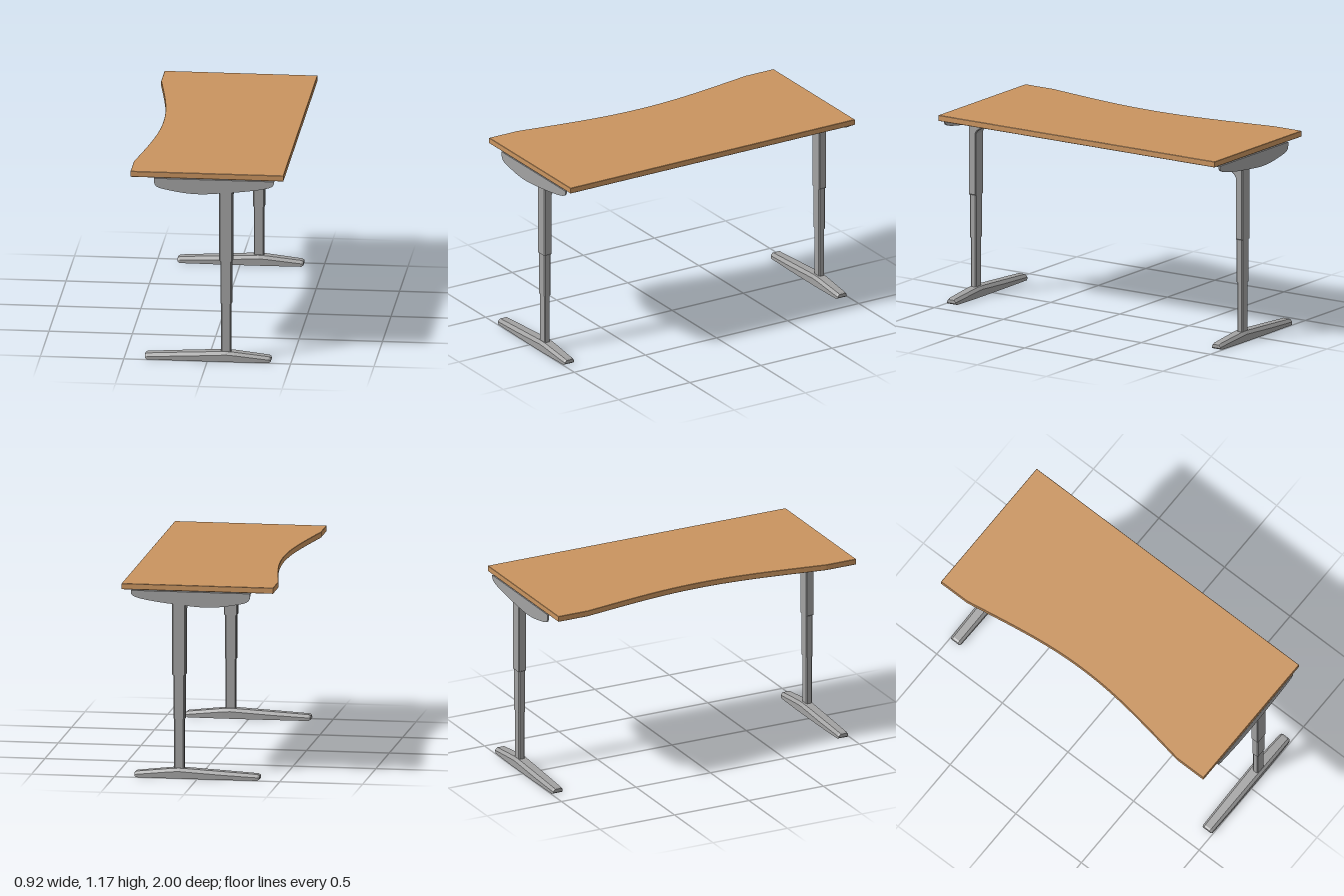
import * as THREE from 'three';

const wood = new THREE.MeshStandardMaterial({ color: 0xc9945f });
wood.name = 'wood';
const metal = new THREE.MeshStandardMaterial({ color: 0xa2a2a2 });
metal.name = 'grey metal';

const LEG_X = 0.111; // centre line of the legs
const LEG_Z = 0.965;

function add(parent, name, geometry, material, x = 0, y = 0, z = 0) {
  const mesh = new THREE.Mesh(geometry, material);
  mesh.name = name;
  mesh.position.set(x, y, z);
  parent.add(mesh);
  return mesh;
}

// Upright tube with small chamfered corners, standing on y = 0
function tube(w, d, h, c = 0.006) {
  const a = w / 2, b = d / 2;
  const outline = [[-a + c, -b], [a - c, -b], [a, -b + c], [a, b - c], [a - c, b], [-a + c, b], [-a, b - c], [-a, -b + c]];
  const shape = new THREE.Shape(outline.map(p => new THREE.Vector2(...p)));
  return new THREE.ExtrudeGeometry(shape, { depth: h, bevelEnabled: false }).rotateX(-Math.PI / 2);
}

// Worktop with a concave user edge
function worktop() {
  const s = new THREE.Shape();
  s.moveTo(-0.46, -1);
  s.lineTo(0.457, -1);
  s.lineTo(0.457, 1);
  s.lineTo(-0.46, 1);
  s.lineTo(-0.46, 0.8);
  s.bezierCurveTo(-0.40, 0.45, -0.365, 0.25, -0.365, 0);
  s.bezierCurveTo(-0.365, -0.25, -0.40, -0.45, -0.46, -0.8);
  s.closePath();
  return new THREE.ExtrudeGeometry(s, {
    depth: 0.031, curveSegments: 16, bevelThickness: 0.002, bevelSize: 0.002, bevelOffset: -0.002, bevelSegments: 1,
  }).rotateX(-Math.PI / 2);
}

// Cross beam and upper leg tubes as one arch with gusseted corners
function arch() {
  const half = [[0.992, 0.625], [0.992, 1.125]];
  const inner = [[0.85, 1.073], [0.865, 1.068], [0.93, 1.022], [0.94, 1.005], [0.94, 0.625]];
  const mirror = list => list.map(([z, y]) => [-z, y]).reverse();
  const outline = [...half, ...mirror(half), ...mirror(inner), ...inner.slice()];
  const s = new THREE.Shape(outline.map(p => new THREE.Vector2(...p)));
  return new THREE.ExtrudeGeometry(s, {
    depth: 0.07, bevelThickness: 0.006, bevelSize: 0.005, bevelOffset: -0.005, bevelSegments: 1,
  }).rotateY(Math.PI / 2).translate(-0.035, 0, 0);
}

// Curved side plate under each end of the worktop
function sidePlate() {
  const s = new THREE.Shape();
  s.moveTo(-0.32, 1.135);
  s.lineTo(-0.32, 1.12);
  s.bezierCurveTo(-0.318, 1.085, -0.30, 1.078, -0.26, 1.07);
  s.bezierCurveTo(-0.15, 1.047, -0.08, 1.038, 0.03, 1.048);
  s.bezierCurveTo(0.14, 1.058, 0.24, 1.068, 0.32, 1.083);
  s.bezierCurveTo(0.38, 1.094, 0.40, 1.105, 0.40, 1.125);
  s.lineTo(0.40, 1.135);
  s.closePath();
  return new THREE.ExtrudeGeometry(s, { depth: 0.01, curveSegments: 10, bevelEnabled: false });
}

// Foot lofted along x: each section is [x, bottom, wall top, top, half width, half top width]
function foot() {
  const sections = [
    [-0.375, 0.008, 0.016, 0.029, 0.031, 0.020],
    [-0.363, 0, 0.018, 0.036, 0.036, 0.022],
    [-0.15, 0, 0.028, 0.048, 0.040, 0.024],
    [0.06, 0, 0.040, 0.059, 0.041, 0.026],
    [0.11, 0, 0.043, 0.061, 0.041, 0.027],
    [0.16, 0, 0.040, 0.058, 0.041, 0.026],
    [0.368, 0, 0.018, 0.035, 0.036, 0.022],
    [0.380, 0.008, 0.016, 0.028, 0.031, 0.020],
  ];
  const pos = [], idx = [], n = 6;
  for (const [x, y0, y1, y2, w, t] of sections) {
    for (const [y, z] of [[y0, -w], [y1, -w], [y2, -t], [y2, t], [y1, w], [y0, w]]) pos.push(x, y, z);
  }
  for (let i = 0; i < sections.length - 1; i++) {
    for (let j = 0; j < n; j++) {
      const a = i * n + j, b = i * n + (j + 1) % n;
      idx.push(a, b, a + n, b, b + n, a + n);
    }
  }
  const last = (sections.length - 1) * n;
  for (let j = 1; j < n - 1; j++) {
    idx.push(0, j + 1, j, last, last + j, last + j + 1);
  }
  const g = new THREE.BufferGeometry();
  g.setAttribute('position', new THREE.Float32BufferAttribute(pos, 3));
  g.setIndex(idx);
  const flat = g.toNonIndexed();
  flat.computeVertexNormals();
  return flat;
}

export function createModel() {
  const desk = new THREE.Group();
  desk.name = 'standing desk';

  add(desk, 'worktop', worktop(), wood, 0, 1.142, 0);
  add(desk, 'beam and upper legs', arch(), metal, LEG_X, 0, 0);

  for (const side of [1, -1]) {
    const end = new THREE.Group();
    end.name = side > 0 ? 'frontEnd' : 'backEnd';
    desk.add(end);

    // telescoping leg stages
    add(end, 'middleLeg', tube(0.069, 0.045, 0.275), metal, LEG_X, 0.36, side * LEG_Z);
    add(end, 'lowerLeg', tube(0.062, 0.038, 0.33), metal, LEG_X, 0.04, side * LEG_Z);
    add(end, 'foot', foot(), metal, 0, 0, side * 0.959);

    // side plate with its inward flange
    add(end, 'sidePlate', sidePlate(), metal, 0, 0, side > 0 ? 0.99 : -1);
    add(end, 'flange', new THREE.BoxGeometry(0.72, 0.005, 0.075), metal, 0.04, 1.1325, side * 0.9575);
  }
  return desk;
}
